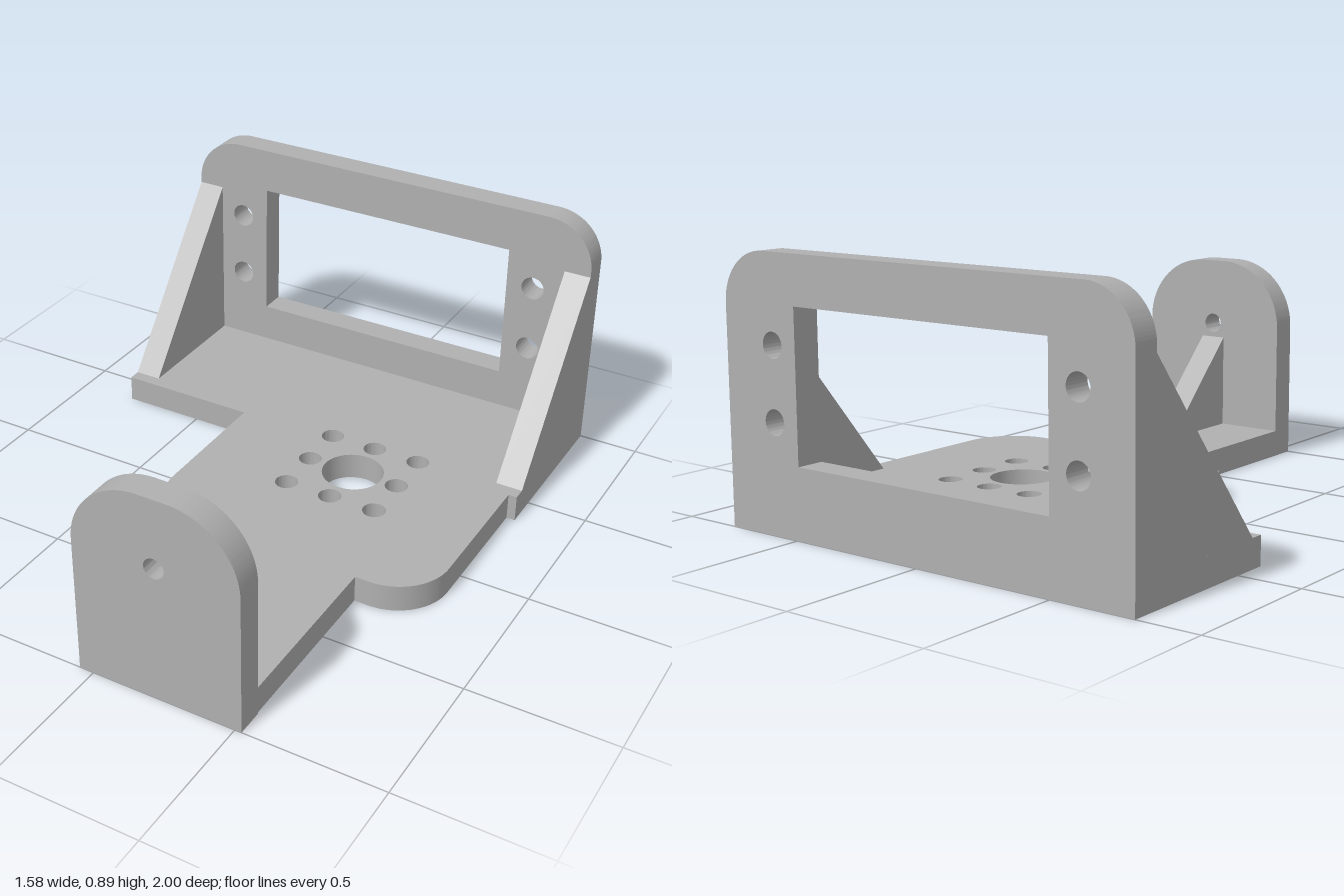
import * as THREE from 'three';
import { toCreasedNormals } from 'three/addons/utils/BufferGeometryUtils.js';

const T = 0.095; // plate thickness
const BACK = -0.905, FRONT = 0.905; // inner faces of the upright plates

function hole(shape, x, y, r) {
  const p = new THREE.Path();
  p.absarc(x, y, r, 0, Math.PI * 2, true);
  shape.holes.push(p);
}

function extrude(shape, depth) {
  const g = new THREE.ExtrudeGeometry(shape, { depth, bevelEnabled: false, curveSegments: 24 });
  return toCreasedNormals(g, 0.5);
}

// Upright plate outline with rounded top corners
function uprightShape(x0, x1, h, r) {
  const s = new THREE.Shape();
  s.moveTo(x0, 0);
  s.lineTo(x1, 0);
  s.lineTo(x1, h - r);
  s.absarc(x1 - r, h - r, r, 0, Math.PI / 2, false);
  s.lineTo(x0 + r, h);
  s.absarc(x0 + r, h - r, r, Math.PI / 2, Math.PI, false);
  s.closePath();
  return s;
}

// Triangular rib: (z, y) corners, spanning x0..x0 + width
function ribGeometry(corners, x0, width) {
  const s = new THREE.Shape(corners.map(([z, y]) => new THREE.Vector2(-z, y)));
  return extrude(s, width).rotateY(Math.PI / 2).translate(x0, 0, 0);
}

export function createModel() {
  const group = new THREE.Group();
  const grey = new THREE.MeshStandardMaterial({ color: 0xb0b0b0 });
  grey.name = 'matte grey';
  const add = (name, geometry) => {
    const m = new THREE.Mesh(geometry, grey);
    m.name = name;
    group.add(m);
  };

  // Base plate, drawn in (x, -z) and laid flat
  const base = new THREE.Shape();
  base.moveTo(-0.05, -FRONT);
  base.lineTo(0.52, -FRONT);
  base.lineTo(0.52, -0.29);
  base.lineTo(0.57, -0.29);
  base.absarc(0.57, -0.1, 0.19, -Math.PI / 2, 0, false);
  base.lineTo(0.76, 0.38);
  base.lineTo(0.79, 0.38);
  base.lineTo(0.79, -BACK);
  base.lineTo(-0.79, -BACK);
  base.lineTo(-0.79, 0.38);
  base.lineTo(-0.29, 0.38);
  base.lineTo(-0.29, -0.1);
  base.absarc(-0.1, -0.1, 0.19, Math.PI, Math.PI * 1.5, false);
  base.lineTo(-0.05, -0.29);
  base.closePath();
  // Central bore ringed by a square of eight mounting holes
  for (const i of [-1, 0, 1]) {
    for (const j of [-1, 0, 1]) {
      hole(base, 0.236 + i * 0.169, 0.236 + j * 0.169, i || j ? 0.04 : 0.108);
    }
  }
  add('basePlate', extrude(base, T).rotateX(-Math.PI / 2));

  // Rear upright with rectangular window and four screw holes
  const rear = uprightShape(-0.79, 0.79, 0.89, 0.17);
  rear.holes.push(new THREE.Path([[-0.5, 0.235], [-0.5, 0.73], [0.485, 0.73], [0.485, 0.235]]
    .map(([x, y]) => new THREE.Vector2(x, y))));
  for (const x of [-0.602, 0.584]) {
    for (const y of [0.362, 0.603]) hole(rear, x, y, 0.042);
  }
  add('rearPlate', extrude(rear, T).translate(0, 0, -1));

  // Front upright with pivot hole
  const front = uprightShape(-0.05, 0.523, 0.723, 0.238);
  hole(front, 0.236, 0.483, 0.035);
  add('frontPlate', extrude(front, T).translate(0, 0, FRONT));

  // Bracing ribs
  const rearRib = [[BACK, T], [BACK, 0.7], [-0.425, T]];
  add('rightRearRib', ribGeometry(rearRib, -0.79, T));
  add('leftRearRib', ribGeometry(rearRib, 0.79 - T, T));
  add('frontRib', ribGeometry([[FRONT, T], [FRONT, 0.43], [0.57, T]], 0.188, T));

  return group;
}
